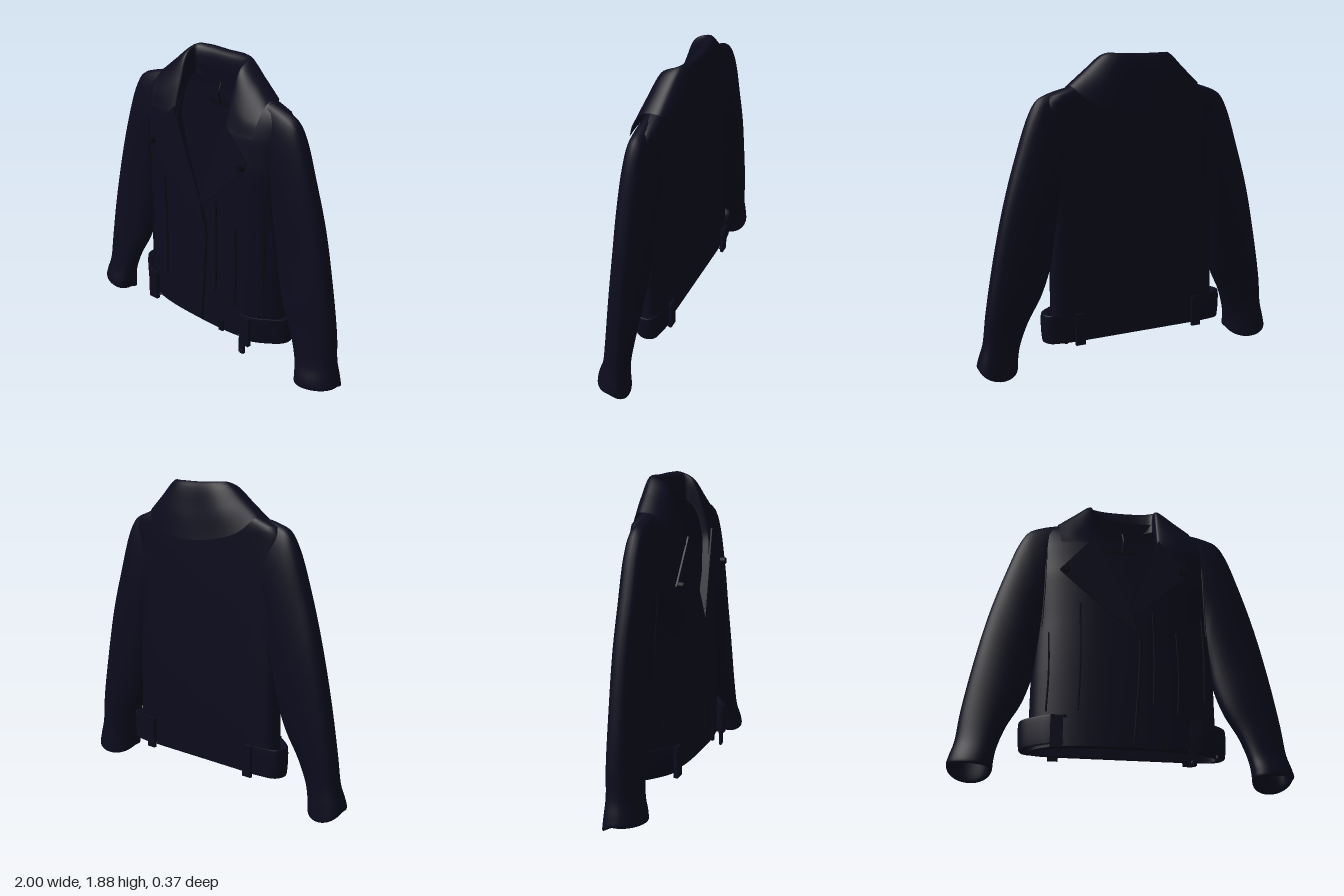
import * as THREE from 'three';

const leather = new THREE.MeshStandardMaterial({ color: 0x0b0b1d, side: THREE.DoubleSide });
leather.name = 'navy leather';
const trim = new THREE.MeshStandardMaterial({ color: 0x090914, side: THREE.DoubleSide });
trim.name = 'dark trim';

const V = (x, y, z) => new THREE.Vector3(x, y, z);
const curve = pts => new THREE.CatmullRomCurve3(pts.map(p => V(...p)));

// Linear lookup in a short table of [key, value] pairs
function track(table, k) {
  if (k <= table[0][0]) return table[0][1];
  for (let i = 1; i < table.length; i++) {
    const [a, va] = table[i - 1], [b, vb] = table[i];
    if (k <= b) return va + (vb - va) * (k - a) / (b - a);
  }
  return table[table.length - 1][1];
}

// Grid surface from a function (u, v) -> Vector3
function sheet(nu, nv, fn) {
  const pos = [], idx = [];
  for (let j = 0; j <= nv; j++)
    for (let i = 0; i <= nu; i++) pos.push(...fn(i / nu, j / nv).toArray());
  for (let j = 0; j < nv; j++)
    for (let i = 0; i < nu; i++) {
      const a = j * (nu + 1) + i, b = a + 1, c = a + nu + 1, d = c + 1;
      idx.push(a, b, c, b, d, c);
    }
  const g = new THREE.BufferGeometry();
  g.setAttribute('position', new THREE.Float32BufferAttribute(pos, 3));
  g.setIndex(idx);
  g.computeVertexNormals();
  return g;
}

// Surface spanned across several guide lines
function span(lines, nu, nv) {
  const cs = lines.map(curve);
  return sheet(nu, nv, (u, v) => new THREE.CatmullRomCurve3(cs.map(c => c.getPoint(u))).getPoint(v));
}

// Torso outline by height: half width, front depth, back depth, side seam, neckline edge
const WIDTH = [[0.19, 0.55], [0.65, 0.55], [1, 0.54], [1.45, 0.56], [1.6, 0.57], [1.65, 0.54], [1.7, 0.42], [1.78, 0.2]];
const FRONT = [[0.19, 0.155], [1.3, 0.155], [1.5, 0.125], [1.6, 0.09], [1.7, 0.035], [1.78, -0.02]];
const BACK = [[0.19, -0.09], [1.65, -0.09], [1.78, -0.06]];
const SEAM = [[0.19, -0.03], [1.4, -0.03], [1.78, -0.02]];
const NECK = [[1.0, 0], [1.03, 0.025], [1.5, 0.19], [1.78, 0.2]];
const FRONT_LINING = 0.75, BACK_LINING = 0.5;

// Depth at a point, scaled away from the side seam
function torsoZ(table, x, y, power, scale) {
  const s = track(SEAM, y), t = Math.min(1, Math.abs(x) / track(WIDTH, y));
  return s + (track(table, y) - s) * scale * Math.sqrt(1 - t ** power);
}
const frontZ = (x, y, scale = 1) => torsoZ(FRONT, x, y, 3, scale);
const backZ = (x, y, scale = 1) => torsoZ(BACK, x, y, 12, scale);

export function createModel() {
  const root = new THREE.Group();
  root.name = 'jacket';
  const add = (name, geo, mat = leather) => {
    const m = new THREE.Mesh(geo, mat);
    m.name = name;
    root.add(m);
    return m;
  };
  const box = (name, w, h, d, x, y, z, mat) =>
    add(name, new THREE.BoxGeometry(w, h, d), mat).position.set(x, y, z);
  const tube = (name, pts, r, mat) =>
    add(name, new THREE.TubeGeometry(curve(pts), 32, r, 6), mat);

  // Torso: outer shell and lining
  const height = v => 0.19 + 1.59 * v;
  const back = scale => sheet(64, 48, (u, v) => {
    const y = height(v), x = track(WIDTH, y) * Math.sin((0.5 - u) * Math.PI);
    return V(x, y, backZ(x, y, scale));
  });
  const front = (side, scale) => sheet(28, 48, (u, v) => {
    const y = height(v), n = track(NECK, y), w = track(WIDTH, y);
    const x = side * (n + (w - n) * Math.sin(u * Math.PI / 2));
    return V(x, y, frontZ(x, y, scale));
  });
  add('backPanel', back(1));
  add('backLining', back(BACK_LINING));
  for (const s of [1, -1]) {
    add('frontPanel', front(s, 1));
    add('frontLining', front(s, FRONT_LINING));
    // Strip closing the front edge between shell and lining
    add('frontEdge', sheet(1, 48, (u, v) => {
      const y = height(v), x = s * track(NECK, y);
      return V(x, y, frontZ(x, y, 1 + (FRONT_LINING - 1) * u));
    }));
  }
  // Strips closing the hem
  for (const [name, zAt, lining] of [['frontHem', frontZ, FRONT_LINING], ['backHem', backZ, BACK_LINING]])
    add(name, sheet(48, 1, (u, v) => {
      const x = 0.55 * Math.sin((u - 0.5) * Math.PI);
      return V(x, 0.188, zAt(x, 0.19, 1 + (lining - 1) * v));
    }));

  // Sleeves: outer x, y, inner x, y, middle z, half depth, rim dip at the back, backward tilt
  const sections = [
    [0.42, 1.695, 0.44, 1.15, -0.01, 0.07, 0, 0],
    [0.52, 1.668, 0.47, 1.05, -0.008, 0.08, 0, 0],
    [0.6, 1.632, 0.49, 0.95, -0.008, 0.084, 0, 0],
    [0.655, 1.55, 0.505, 0.85, -0.008, 0.086, 0, 0],
    [0.74, 1.31, 0.525, 0.75, -0.006, 0.086, 0, 0],
    [0.82, 1.04, 0.545, 0.64, -0.004, 0.085, 0, 0.005],
    [0.89, 0.72, 0.6, 0.47, 0.006, 0.085, 0, 0.012],
    [0.945, 0.4, 0.68, 0.32, 0.016, 0.083, 0, 0.02],
    [0.965, 0.22, 0.728, 0.18, 0.028, 0.085, 0, 0.025],
    [0.99, 0.13, 0.74, 0.105, 0.036, 0.1, 0.02, 0.027],
    [0.998, 0.085, 0.745, 0.06, 0.036, 0.104, 0.06, 0.027],
    [0.98, 0.08, 0.765, 0.06, 0.036, 0.09, 0.05, 0.025],
    [0.96, 0.16, 0.76, 0.13, 0.034, 0.078, 0, 0.025],
  ];
  for (const s of [1, -1]) {
    const outer = curve(sections.map(p => [p[0], p[1], p[4]]));
    const inner = curve(sections.map(p => [p[2], p[3], p[5]]));
    const rim = curve(sections.map(p => [p[6], p[1], p[7]]));
    add('sleeve', sheet(36, 60, (u, v) => {
      const o = outer.getPoint(v), i = inner.getPoint(v), r = rim.getPoint(v), a = u * Math.PI * 2;
      const c = Math.cos(a), q = Math.sin(a), k = 0.5 + 0.5 * c;
      return V(s * (i.x + (o.x - i.x) * k), i.y + (o.y - i.y) * k - r.x * Math.max(0, -q),
        o.z - r.z * c + i.z * Math.sign(q) * Math.abs(q) ** 0.8);
    }));
    tube('shoulderSeam', [[s * 0.49, 1.58, frontZ(0.49, 1.58)], [s * 0.49, 1.3, frontZ(0.49, 1.3)],
      [s * 0.5, 0.95, frontZ(0.5, 0.95)]], 0.005, trim);
  }

  // Collar: stand, fold and turned-down flap, mirrored about the back
  const mirrored = half => [...half, ...half.slice(0, -1).reverse().map(([x, y, z]) => [-x, y, z])];
  add('collar', span([
    [[0.19, 1.5, 0.105], [0.195, 1.62, 0.055], [0.195, 1.7, 0], [0.19, 1.72, -0.03], [0.13, 1.71, -0.05], [0, 1.71, -0.058]],
    [[0.2, 1.51, 0.13], [0.2, 1.69, 0.075], [0.2, 1.82, 0.02], [0.195, 1.86, -0.045], [0.13, 1.865, -0.065], [0, 1.865, -0.07]],
    [[0.21, 1.51, 0.137], [0.215, 1.7, 0.08], [0.215, 1.84, 0.02], [0.205, 1.885, -0.07], [0.14, 1.885, -0.11], [0, 1.88, -0.12]],
    [[0.3, 1.508, 0.14], [0.32, 1.62, 0.11], [0.325, 1.765, 0.02], [0.325, 1.785, -0.07], [0.22, 1.75, -0.145], [0, 1.72, -0.16]],
    [[0.405, 1.507, 0.13], [0.415, 1.6, 0.1], [0.42, 1.69, 0.025], [0.42, 1.7, -0.07], [0.32, 1.605, -0.145], [0, 1.55, -0.185]],
  ].map(mirrored), 80, 24));

  // Lapels, leaning back with the chest
  const lapels = [
    [[0.2, 1.55], [0.25, 1.5], [0.38, 1.36], [0.36, 1.3], [0.08, 1.03], [0.025, 1.02]],
    [[-0.2, 1.55], [-0.25, 1.49], [-0.41, 1.3], [-0.37, 1.26], [-0.08, 1.0], [0.06, 0.9], [0.03, 1.03]],
  ];
  for (const pts of lapels) {
    const shape = new THREE.Shape(pts.map(p => new THREE.Vector2(...p)));
    const g = new THREE.ExtrudeGeometry(shape, { depth: 0.01, bevelEnabled: false });
    const p = g.attributes.position;
    for (let i = 0; i < p.count; i++) p.setZ(i, p.getZ(i) + 0.156 - (p.getY(i) - 1) * 0.04);
    g.computeVertexNormals();
    add('lapel', g);
  }
  for (const [x, y] of [[-0.37, 1.3], [0.345, 1.33]]) {
    const b = add('lapelStud', new THREE.CylinderGeometry(0.02, 0.024, 0.03, 16), trim);
    b.rotation.x = Math.PI / 2;
    b.position.set(x, y, 0.168);
  }

  // Zips and pocket openings
  tube('frontZip', [[0.03, 1.02, 0.158], [0.075, 0.87, 0.158], [0.07, 0.6, 0.158], [0.04, 0.2, 0.158]], 0.008, trim);
  const lines = [[-0.28, 0.4, 1.08], [0.155, 0.45, 1.05], [0.3, 0.4, 0.92], [-0.46, 0.4, 0.9], [0.47, 0.5, 1.05]];
  for (const [x, a, b] of lines)
    tube('pocketZip', [[x, a, frontZ(x, a) + 0.002], [x + 0.008, (a + b) / 2, frontZ(x, a) + 0.003],
      [x, b, frontZ(x, b) + 0.002]], 0.006, trim);

  // Side belts with loops
  const plan = [[0.36, 0.155], [0.44, 0.135], [0.52, 0.085], [0.59, 0.02], [0.603, -0.03], [0.58, -0.08], [0.5, -0.1], [0.38, -0.11]];
  for (const s of [1, -1]) {
    const line = (y, k) => plan.map(([x, z]) => [s * x * k, y, z * k]);
    add('sideBelt', span([line(0.21, 0.93), line(0.195, 0.99), line(0.205, 1), line(0.36, 1.01),
      line(0.37, 1), line(0.355, 0.93)], 36, 20));
    box('frontBeltLoop', 0.07, 0.19, 0.025, s * 0.4, 0.265, 0.155);
    box('backBeltLoop', 0.06, 0.19, 0.02, s * 0.4, 0.27, -0.115);
  }
  box('beltTongue', 0.04, 0.1, 0.015, 0.375, 0.15, 0.155);
  const tip = add('beltTongueTip', new THREE.SphereGeometry(0.022, 16, 10));
  tip.scale.z = 0.5;
  tip.position.set(0.375, 0.112, 0.155);
  box('hemSnap', 0.035, 0.07, 0.012, 0.205, 0.22, 0.158, trim);

  // Inside of the neck
  box('hangerPatch', 0.18, 0.03, 0.008, 0, 1.57, -0.054, trim);
  tube('hangerLoop', [[0, 1.7, -0.052], [0.005, 1.64, -0.03], [0, 1.57, -0.05]], 0.006, trim);
  return root;
}
